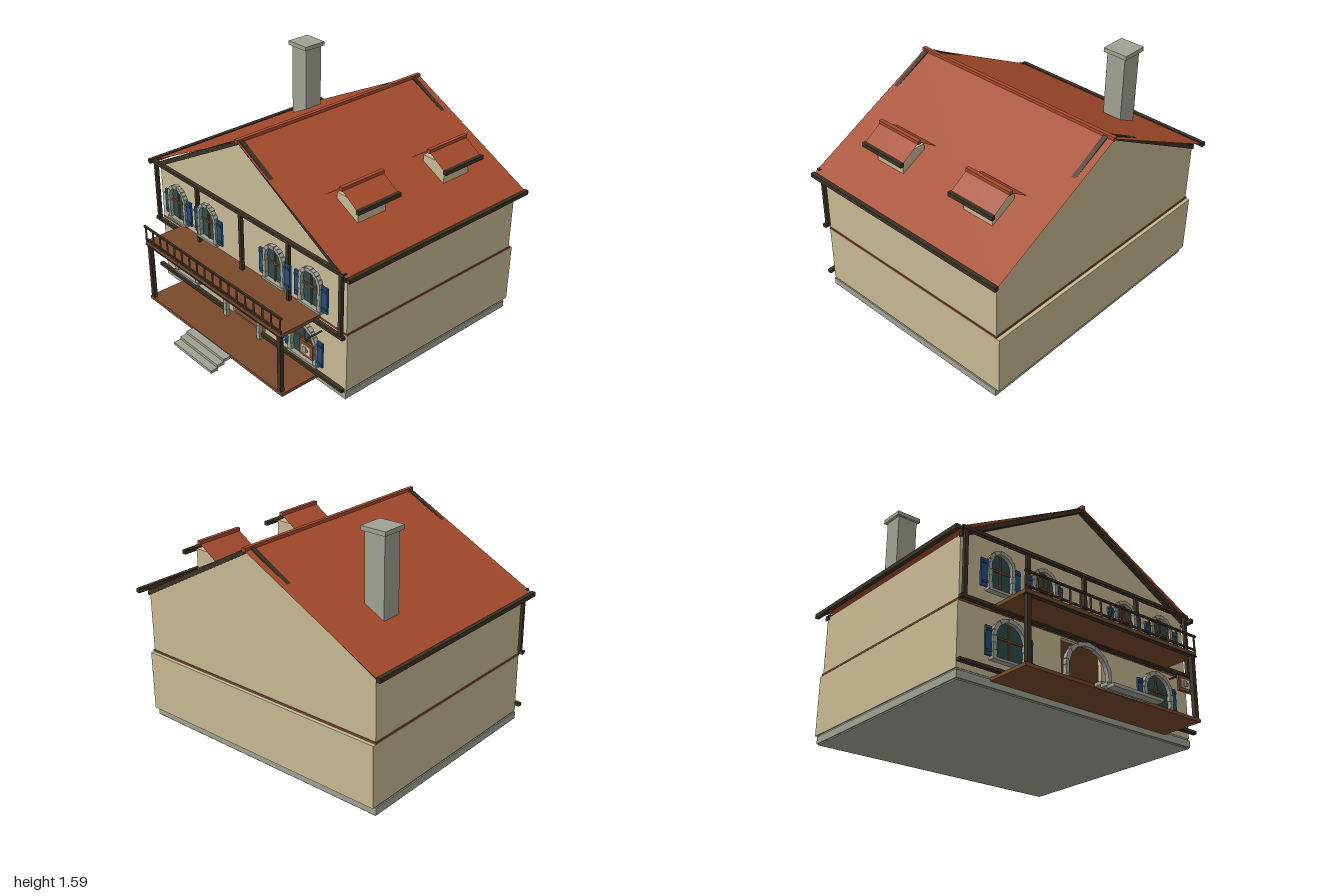
import * as THREE from 'three';

const mat = (name, color, side = THREE.FrontSide) => {
  const m = new THREE.MeshStandardMaterial({ color, side });
  m.name = name;
  return m;
};

export function createModel() {
  const root = new THREE.Group();
  root.name = 'tavern';
  const plaster = mat('plaster', 0xc6b892);
  const tile = mat('roofTile', 0xa64b2b, THREE.DoubleSide);
  const timber = mat('darkTimber', 0x3b3122);
  const wood = mat('brownWood', 0x7a4a2a);
  const stone = mat('stone', 0x9fa193);
  const blue = mat('shutterBlue', 0x214e7c);
  const glass = mat('glass', 0x2c4c4c);
  const pale = mat('paleClay', 0xd9d0b4);

  const add = (name, geo, m, parent = root) => {
    const mesh = new THREE.Mesh(geo, m);
    mesh.name = name;
    parent.add(mesh);
    return mesh;
  };
  // Box given by its minimum and maximum on each axis
  const box = (name, m, x0, x1, y0, y1, z0, z1, parent = root) => {
    const mesh = add(name, new THREE.BoxGeometry(x1 - x0, y1 - y0, z1 - z0), m, parent);
    mesh.position.set((x0 + x1) / 2, (y0 + y1) / 2, (z0 + z1) / 2);
    return mesh;
  };
  const polygon = (pts) => new THREE.Shape(pts.map(([x, y]) => new THREE.Vector2(x, y)));
  const slab = (name, m, shape, z0, z1, parent = root) => {
    const geo = new THREE.ExtrudeGeometry(shape, { depth: z1 - z0, bevelEnabled: false, curveSegments: 16 });
    const mesh = add(name, geo, m, parent);
    mesh.position.z = z0;
    return mesh;
  };

  // Foundation with a stepped rim
  box('foundation', stone, -0.935, 0.935, 0.008, 0.056, -0.94, 0.54);
  box('foundationCore', stone, -0.927, 0.927, 0, 0.068, -0.932, 0.532);

  // Hollow ground floor with a door opening
  const frontWall = polygon([[-0.935, 0.068], [-0.165, 0.068], [-0.165, 0.465], [0.165, 0.465],
    [0.165, 0.068], [0.935, 0.068], [0.935, 0.475], [-0.935, 0.475]]);
  slab('lowerFrontWall', plaster, frontWall, 0.505, 0.535);
  box('lowerBackWall', plaster, -0.935, 0.935, 0.068, 0.475, -0.968, -0.93);
  for (const s of [-1, 1]) {
    const [a, b] = s < 0 ? [-0.935, -0.905] : [0.905, 0.935];
    box('lowerSideWall', plaster, a, b, 0.068, 0.475, -0.93, 0.505);
  }
  box('indoorFloor', wood, -0.905, 0.905, 0.066, 0.074, -0.93, 0.53);
  box('floorBand', wood, -0.937, 0.937, 0.475, 0.488, -0.944, 0.537);

  // Taproom counter, shelf and mugs
  box('counter', timber, -0.45, 0.45, 0.074, 0.222, -0.6, -0.45);
  box('counterTop', wood, -0.46, 0.46, 0.222, 0.237, -0.62, -0.43);
  box('shelf', wood, -0.45, 0.45, 0.305, 0.318, -0.93, -0.84);
  const mug = (x, y, z, r, h) => {
    const g = new THREE.Group();
    g.name = 'mug';
    add('mugCup', new THREE.CylinderGeometry(r, r, h, 10), pale, g);
    add('mugHandle', new THREE.TorusGeometry(h * 0.28, h * 0.08, 5, 10), pale, g).position.x = r;
    g.position.set(x, y + h / 2, z);
    root.add(g);
  };
  for (const x of [-0.045, 0.06]) mug(x, 0.318, -0.885, 0.012, 0.032);

  // Upper floor and gables
  slab('upperWalls', plaster, polygon([[-0.93, 0.486], [0.93, 0.486], [0.93, 0.895], [0, 1.392], [-0.93, 0.895]]), -0.94, 0.535);

  // Thin sheet spanning two points of the x-y plane, between two depths
  const sheet = (name, m, a, b, z0, z1) => {
    const g = add(name, new THREE.PlaneGeometry(Math.hypot(b[0] - a[0], b[1] - a[1]), z1 - z0).rotateX(-Math.PI / 2), m);
    g.rotation.z = Math.atan2(b[1] - a[1], b[0] - a[0]);
    g.position.set((a[0] + b[0]) / 2, (a[1] + b[1]) / 2, (z0 + z1) / 2);
  };

  // Main roof
  sheet('roofLeft', tile, [0, 1.41], [0.985, 0.905], -0.99, 0.585);
  sheet('roofRight', tile, [-0.985, 0.905], [0, 1.41], -0.99, 0.585);
  box('ridgeCap', tile, -0.013, 0.013, 1.398, 1.424, -0.992, 0.59);
  for (const s of [-1, 1]) box('eaveBeam', timber, s * 0.985 - 0.014, s * 0.985 + 0.014, 0.891, 0.92, -0.993, 0.588);
  const chevron = polygon([[0, 1.42], [-0.945, 0.903], [-0.945, 0.868], [0, 1.386], [0.945, 0.868], [0.945, 0.903]]);
  slab('frontBargeBoards', timber, chevron, 0.54, 0.57);
  slab('backBargeBoards', timber, chevron, -0.945, -0.915);

  // Dormers on the left slope
  for (const z of [0.147, -0.595]) {
    box('dormerWall', plaster, 0.54, 0.72, 1.03, 1.175, z - 0.115, z + 0.115);
    sheet('dormerBackSlope', tile, [0.495, 1.16], [0.63, 1.25], z - 0.17, z + 0.17);
    sheet('dormerFrontSlope', tile, [0.63, 1.25], [0.775, 1.155], z - 0.17, z + 0.17);
    box('dormerRidge', tile, 0.617, 0.643, 1.237, 1.263, z - 0.173, z + 0.173);
    box('dormerEave', timber, 0.762, 0.788, 1.141, 1.169, z - 0.174, z + 0.174);
  }

  // Chimney
  box('chimney', stone, -0.717, -0.573, 1.02, 1.557, -0.607, -0.47);
  box('chimneyCap', stone, -0.735, -0.557, 1.557, 1.585, -0.625, -0.452);

  // Front timber framing
  for (const x of [-0.92, -0.457, 0, 0.457, 0.92]) box('framePost', timber, x - 0.012, x + 0.012, 0.485, 0.915, 0.563, 0.587);
  for (const y of [0.1, 0.483, 0.92]) {
    const spans = y < 0.2 ? [[-0.95, -0.18], [0.18, 0.95]] : [[-0.95, 0.95]];
    for (const [a, b] of spans) box('frameBeam', timber, a, b, y - 0.011, y + 0.011, 0.561, 0.589);
  }

  // Arch of stone blocks on two jambs
  const stoneArch = (cx, yBase, ySpring, rOuter, t, n, parent) => {
    const r = rOuter - t / 2;
    for (let i = 0; i < n; i++) {
      const a = ((i + 0.5) / n) * Math.PI;
      const odd = i % 2 ? 0.004 : 0;
      const block = add('archStone', new THREE.BoxGeometry(t + odd, (Math.PI * r) / n * 1.02, 0.028 + odd), stone, parent);
      block.position.set(cx + r * Math.cos(a), ySpring + r * Math.sin(a), 0.587);
      block.rotation.z = a;
    }
    const rows = Math.round((ySpring - yBase) / 0.045);
    const h = (ySpring - yBase) / rows;
    for (const s of [-1, 1]) for (let i = 0; i < rows; i++) {
      const w = t / 2 + (i % 2 ? 0 : 0.003);
      const x = cx + s * r;
      box('jambStone', stone, x - w, x + w, yBase + i * h, yBase + (i + 1) * h - 0.001, 0.573, 0.601, parent);
    }
  };

  const archedWindow = (cx, y0, spring, r, t, shutterW, shutterTop) => {
    const g = new THREE.Group();
    g.name = 'archedWindow';
    root.add(g);
    const ri = r - t / 2;
    const pane = new THREE.Shape();
    pane.moveTo(cx - ri, y0);
    pane.lineTo(cx + ri, y0);
    pane.lineTo(cx + ri, spring);
    pane.absarc(cx, spring, ri, 0, Math.PI, false);
    slab('pane', glass, pane, 0.568, 0.576, g);
    stoneArch(cx, y0, spring, r, t, 11, g);
    box('sill', stone, cx - r - 0.006, cx + r + 0.006, y0 - 0.016, y0, 0.565, 0.606, g);
    const mid = (y0 + spring + r) / 2;
    box('mullion', wood, cx - 0.006, cx + 0.006, y0, spring + ri, 0.574, 0.583, g);
    box('transom', wood, cx - ri, cx + ri, mid - 0.006, mid + 0.006, 0.574, 0.583, g);
    for (const s of [-1, 1]) {
      const x = cx + s * (r + shutterW / 2);
      const w = shutterW / 2;
      box('shutter', blue, x - w, x + w, y0 + 0.004, shutterTop, 0.574, 0.588, g);
      for (const y of [y0 + 0.025, shutterTop - 0.033]) box('shutterBatten', blue, x - w + 0.003, x + w - 0.003, y, y + 0.014, 0.588, 0.594, g);
    }
  };
  for (const x of [-0.67, -0.337, 0.337, 0.67]) archedWindow(x, 0.585, 0.745, 0.096, 0.022, 0.05, 0.766);
  for (const x of [-0.603, 0.603]) archedWindow(x, 0.168, 0.298, 0.128, 0.025, 0.045, 0.352);
  stoneArch(0, 0.066, 0.268, 0.187, 0.027, 15, root);

  // Porch, balcony and railing
  box('porchFloor', wood, -0.7, 0.7, 0.044, 0.066, 0.535, 0.84);
  box('balconyFloor', wood, -0.7, 0.7, 0.482, 0.506, 0.535, 0.842);
  box('balconyEdge', timber, -0.702, 0.702, 0.476, 0.484, 0.815, 0.846);
  for (const x of [-0.672, 0.672]) box('porchPost', timber, x - 0.015, x + 0.015, 0.066, 0.48, 0.812, 0.84);
  box('bottomRail', timber, -0.7, 0.7, 0.517, 0.529, 0.834, 0.844);
  box('topRail', timber, -0.705, 0.705, 0.611, 0.623, 0.833, 0.847);
  const count = 18;
  for (let i = 0; i < count; i++) {
    const x = -0.69 + (1.38 * i) / (count - 1);
    box('baluster', wood, x - 0.005, x + 0.005, 0.506, 0.613, 0.835, 0.844);
  }

  // Front steps
  for (let i = 0; i < 3; i++) box('step', stone, -0.2, 0.2, 0.006 + i * 0.02, 0.027 + i * 0.02, 0.945 - i * 0.05, 1 - i * 0.05);

  // Hanging sign on an iron bracket
  add('signBracket', new THREE.CylinderGeometry(0.006, 0.006, 0.13, 8).rotateX(Math.PI / 2), timber).position.set(0.747, 0.425, 0.63);
  box('signHanger', timber, 0.744, 0.75, 0.4, 0.425, 0.682, 0.688);
  box('signBoard', wood, 0.69, 0.81, 0.3, 0.404, 0.678, 0.694);
  box('signPanel', pale, 0.715, 0.785, 0.322, 0.382, 0.694, 0.697);
  box('signCup', stone, 0.73, 0.757, 0.332, 0.372, 0.697, 0.703);
  add('signCupHandle', new THREE.TorusGeometry(0.011, 0.003, 5, 12), stone).position.set(0.761, 0.352, 0.7);

  return root;
}
